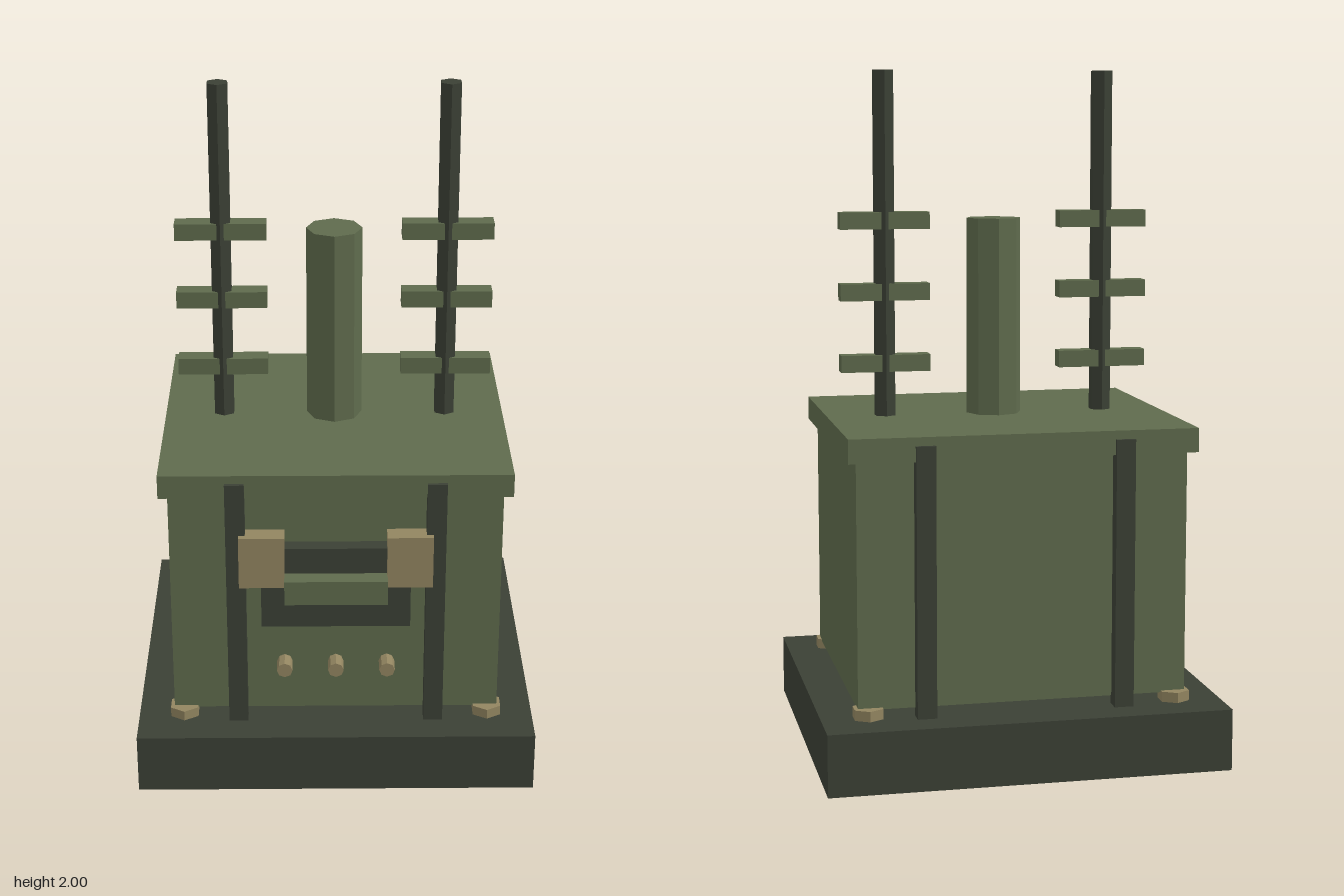
import * as THREE from 'three';

export function createModel() {
  const model = new THREE.Group();
  const makeMaterial = (name, color) => {
    const m = new THREE.MeshStandardMaterial({ color });
    m.name = name;
    return m;
  };
  const green = makeMaterial('olive green', 0x5f6b4d);
  const dark = makeMaterial('dark green grey', 0x3b4035);
  const tan = makeMaterial('dull tan', 0x928560);

  const add = (name, geometry, material) => {
    // separate vertices per face keep every facet crisp
    const flat = geometry.toNonIndexed();
    flat.computeVertexNormals();
    const mesh = new THREE.Mesh(flat, material);
    mesh.name = name;
    model.add(mesh);
    return mesh;
  };
  // box given by its [min, max] extent on each axis
  const box = (name, material, [x0, x1], [y0, y1], [z0, z1]) =>
    add(name, new THREE.BoxGeometry(x1 - x0, y1 - y0, z1 - z0), material)
      .position.set((x0 + x1) / 2, (y0 + y1) / 2, (z0 + z1) / 2);
  // upright prism with the given number of sides
  const post = (name, material, r, sides, x, z, y0, y1) =>
    add(name, new THREE.CylinderGeometry(r, r, y1 - y0, sides), material)
      .position.set(x, (y0 + y1) / 2, z);

  // Plinth, cabinet and overhanging lid
  box('plinth', dark, [-0.585, 0.585], [0, 0.18], [-0.547, 0.547]);
  box('cabinet', green, [-0.48, 0.48], [0.205, 0.915], [-0.415, 0.415]);
  box('lid', green, [-0.505, 0.505], [0.915, 0.985], [-0.445, 0.445]);

  // Central chimney
  post('chimney', green, 0.082, 8, 0, 0, 0.985, 1.568);

  for (const side of [-1, 1]) {
    // Mast with three crossbars
    const x = side * 0.33;
    post('mast', dark, 0.033, 6, x, 0, 0.985, 2);
    for (const y of [1.142, 1.353, 1.563]) {
      box('crossbar', green, [x - 0.133, x + 0.133], [y - 0.025, y + 0.025], [-0.027, 0.027]);
    }

    // Feet and vertical straps, front and back
    for (const end of [-1, 1]) {
      post('foot', tan, 0.047, 6, side * 0.45, end * 0.405, 0.18, 0.21);
      const strapX = side * 0.288, strapZ = end * 0.432;
      box('strap', dark, [strapX - 0.028, strapX + 0.028], [0.18, 0.96], [strapZ - 0.023, strapZ + 0.023]);
    }

    // Latch block beside the front panel
    const latchX = side * 0.213;
    box('latch', tan, [latchX - 0.066, latchX + 0.066], [0.64, 0.80], [0.415, 0.473]);
  }

  // Front panel with its protruding handle
  box('frontPanel', dark, [-0.216, 0.216], [0.505, 0.76], [0.415, 0.46]);
  box('handle', green, [-0.148, 0.148], [0.605, 0.68], [0.455, 0.511]);

  // Row of knobs
  for (const x of [-0.15, 0, 0.15]) {
    const knob = add('knob', new THREE.CylinderGeometry(0.023, 0.023, 0.055, 8), tan);
    knob.rotation.x = Math.PI / 2;
    knob.position.set(x, 0.362, 0.4425);
  }
  return model;
}
